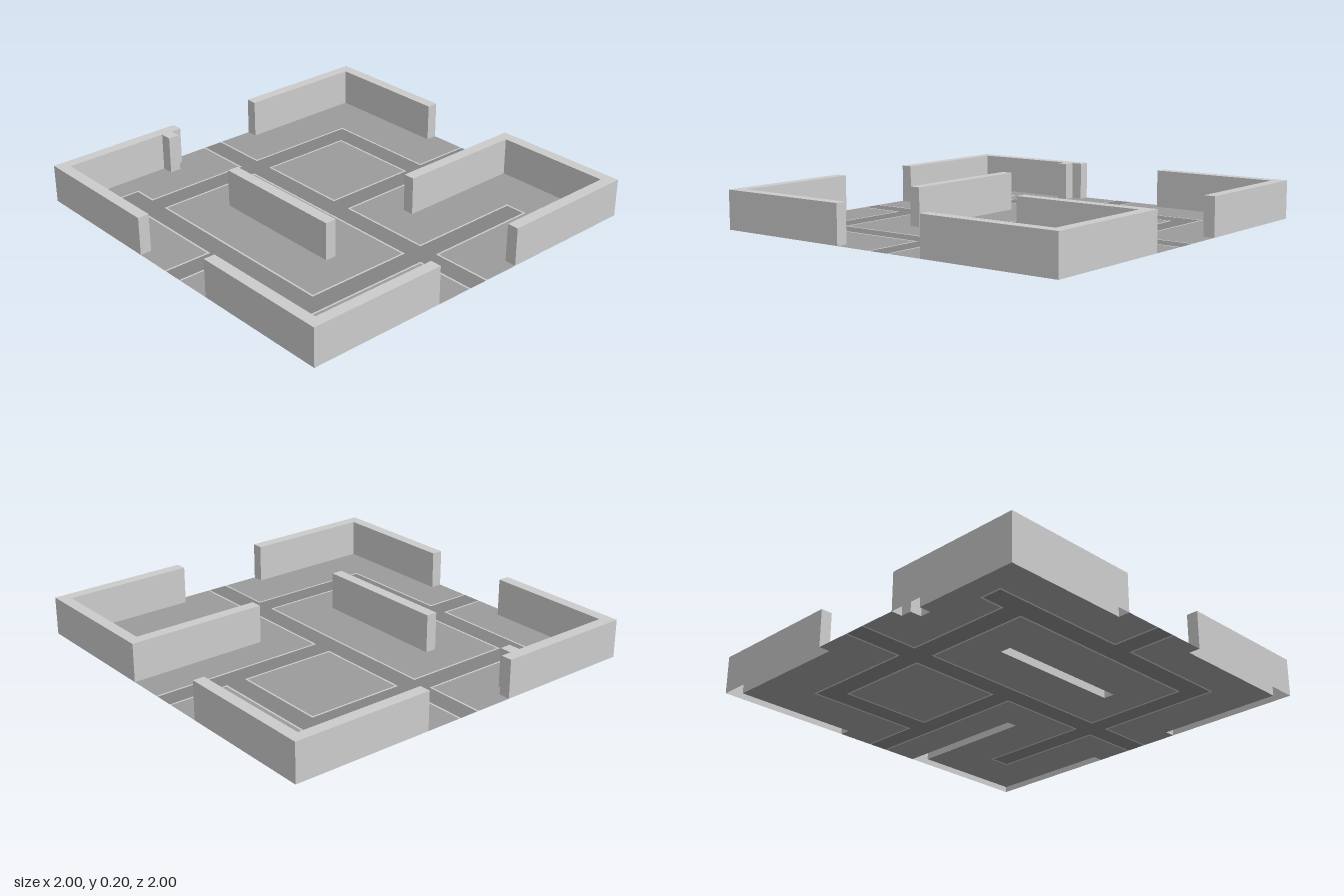
import * as THREE from 'three';

const HEIGHT = 0.2;
const LINE = 0.005; // half width of the light border lines

// Rectangles are [x0, x1, z0, z1].
const WALLS = {
  backRightWall: [[-1, -0.257, -1, -0.94], [-1, -0.94, -1, -0.257], [-0.375, -0.315, -1, -0.877]],
  backLeftWall: [[0.253, 1, -1, -0.94], [0.94, 1, -1, -0.257]],
  frontRightWall: [[-1, -0.257, 0.94, 1], [-1, -0.94, 0.253, 1]],
  frontLeftWall: [[0.253, 1, 0.94, 1], [0.94, 1, 0.253, 1], [0.253, 1, 0.253, 0.313]],
  middleWall: [[-0.375, -0.315, -0.373, 0.37]],
};

const PATHS = [
  [-0.057, 0.057, -1.1, 1.1], // main corridor
  [-1.1, -0.631, -0.057, 0.057], // right entrance
  [-0.057, 1.1, -0.057, 0.057], // left entrance
  [-0.747, -0.631, -0.812, 0.682], // right corridor
  [-0.747, 0.682, -0.684, -0.567], // back corridor
  [0.567, 0.682, -0.684, 0.057], // left corridor
  [-0.747, 0.682, 0.567, 0.682], // front corridor
];

const clamp = (v) => Math.max(-1, Math.min(1, v));
const grow = (rects, d) => rects.map(([a, b, c, e]) => [a - d, b + d, c - d, e + d].map(clamp));
const inside = (rects, x, z) => rects.some(([a, b, c, d]) => x > a && x < b && z > c && z < d);
const stops = (values) => [...new Set(values)].sort((a, b) => a - b);

// Flat cells covering the area where test(x, z) holds, at height y;
// with skirt, vertical sides run down to the ground around the area.
function cellGeometry(rects, test, y, skirt) {
  const xs = stops(rects.flatMap((r) => r.slice(0, 2)));
  const zs = stops(rects.flatMap((r) => r.slice(2)));
  const pos = [];
  const quad = (a, b, c, d) => pos.push(...a, ...b, ...c, ...a, ...c, ...d);
  const hit = (i, j) => i >= 0 && j >= 0 && i < xs.length - 1 && j < zs.length - 1
    && test((xs[i] + xs[i + 1]) / 2, (zs[j] + zs[j + 1]) / 2);

  for (let i = 0; i < xs.length - 1; i++) {
    for (let j = 0; j < zs.length - 1; j++) {
      if (!hit(i, j)) continue;
      const [x0, x1, z0, z1] = [xs[i], xs[i + 1], zs[j], zs[j + 1]];
      quad([x0, y, z0], [x0, y, z1], [x1, y, z1], [x1, y, z0]);
      if (!skirt) continue;
      const side = (ax, az, bx, bz) => quad([ax, 0, az], [bx, 0, bz], [bx, y, bz], [ax, y, az]);
      if (!hit(i, j + 1)) side(x0, z1, x1, z1);
      if (!hit(i, j - 1)) side(x1, z0, x0, z0);
      if (!hit(i + 1, j)) side(x1, z1, x1, z0);
      if (!hit(i - 1, j)) side(x0, z0, x0, z1);
    }
  }
  const geometry = new THREE.BufferGeometry();
  geometry.setAttribute('position', new THREE.Float32BufferAttribute(pos, 3));
  geometry.computeVertexNormals();
  return geometry;
}

export function createModel() {
  const model = new THREE.Group();
  model.name = 'floorPlan';
  const material = (color) => new THREE.MeshStandardMaterial({ color, side: THREE.DoubleSide });
  const add = (name, geometry, mat) => {
    const mesh = new THREE.Mesh(geometry, mat);
    mesh.name = name;
    model.add(mesh);
  };

  // Walls, open underneath
  const grey = material(0xcccccc);
  for (const [name, rects] of Object.entries(WALLS)) {
    add(name, cellGeometry(rects, (x, z) => inside(rects, x, z), HEIGHT, true), grey);
  }

  // Floor pieces, side by side at ground level and cut out around the walls
  const walls = Object.values(WALLS).flat();
  const paths = grow(PATHS, -LINE);
  const borders = grow(PATHS, LINE);
  const all = [[-1, 1, -1, 1], ...walls, ...paths, ...borders];
  const kind = (x, z) => {
    if (inside(walls, x, z)) return 'wall';
    if (inside(paths, x, z)) return 'paths';
    return inside(borders, x, z) ? 'pathBorders' : 'floor';
  };
  const colors = { floor: 0x9b9b9b, paths: 0x838383, pathBorders: 0xcccccc };
  for (const [name, color] of Object.entries(colors)) {
    add(name, cellGeometry(all, (x, z) => kind(x, z) === name, 0, false), material(color));
  }
  return model;
}
